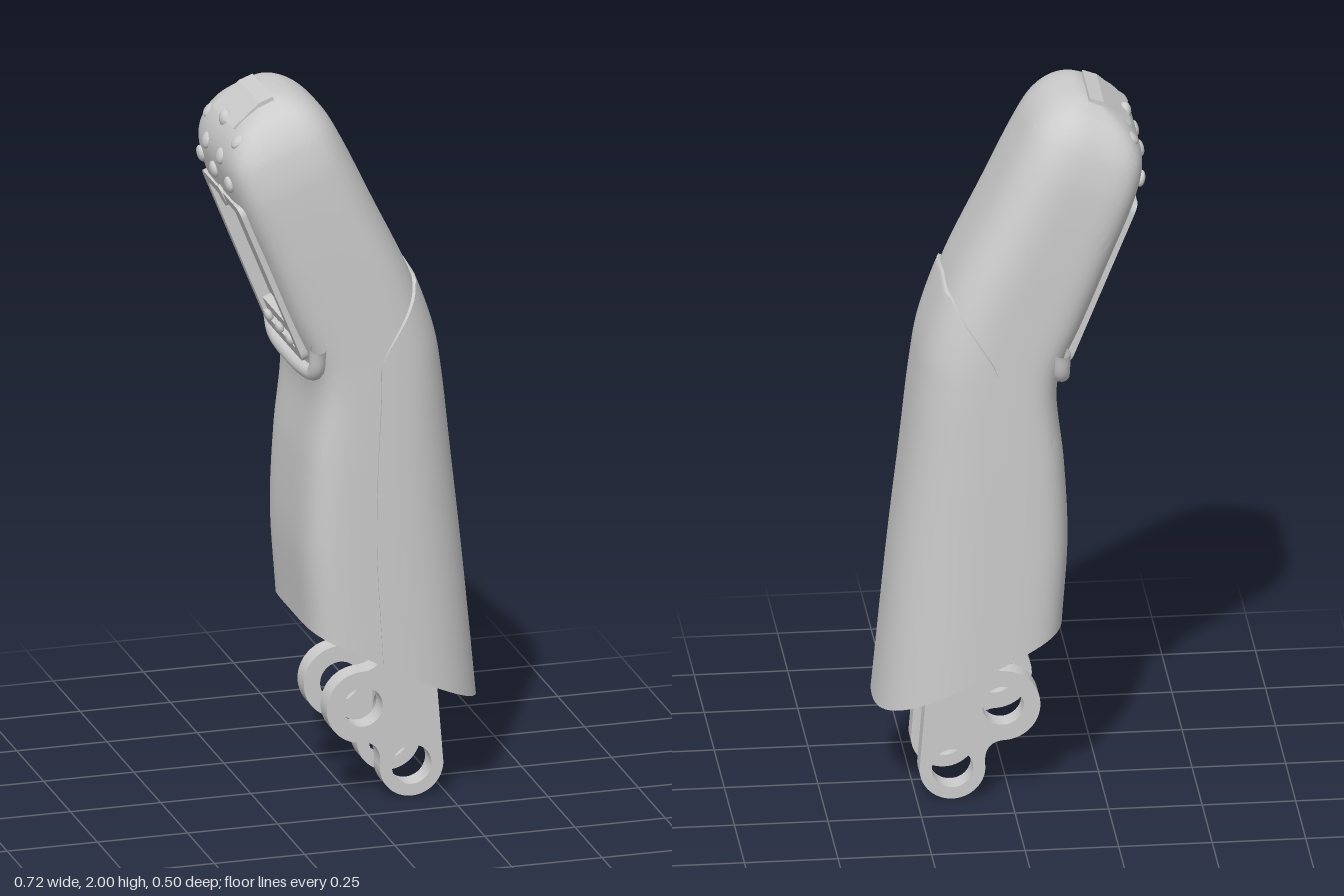
import * as THREE from 'three';
import { mergeVertices, toCreasedNormals } from 'three/addons/utils/BufferGeometryUtils.js';

const material = new THREE.MeshStandardMaterial({ color: 0xcccccc, side: THREE.DoubleSide });

function add(parent, name, geometry, x = 0, y = 0, z = 0) {
  const mesh = new THREE.Mesh(geometry, material);
  mesh.name = name;
  mesh.position.set(x, y, z);
  parent.add(mesh);
  return mesh;
}

// Cross-sections up the bent body: [leftX, leftY, rightX, rightY, half width, roundness of right side]
const sections = [
  [-0.14, 0.51, 0.348, 0.258, 0.242, 2.4],
  [-0.155, 0.75, 0.302, 0.7, 0.242, 2.5],
  [-0.145, 0.97, 0.272, 0.95, 0.242, 2.6],
  [-0.125, 1.17, 0.242, 1.2, 0.241, 2.7],
  [-0.137, 1.25, 0.222, 1.31, 0.24, 2.8],
  [-0.194, 1.38, 0.163, 1.475, 0.239, 3],
  [-0.263, 1.55, 0.06, 1.69, 0.238, 3],
  [-0.335, 1.73, -0.022, 1.86, 0.232, 3],
  [-0.355, 1.82, -0.065, 1.935, 0.215, 3],
  [-0.345, 1.875, -0.105, 1.974, 0.19, 3],
  [-0.315, 1.925, -0.145, 1.993, 0.155, 3],
  [-0.265, 1.968, -0.185, 2.0, 0.105, 3],
];
const track = (f) => new THREE.CatmullRomCurve3(sections.map(f));
const leftTrack = track((s) => new THREE.Vector3(s[0], s[1], 0));
const rightTrack = track((s) => new THREE.Vector3(s[2], s[3], 0));
const shapeTrack = track((s, i) => new THREE.Vector3(s[4], s[5], i));

// Point on the body skin at height t and angle a (0 = right, PI = left), grown by offset
function skin(t, a, offset = 0) {
  const L = leftTrack.getPoint(t), R = rightTrack.getPoint(t), S = shapeTrack.getPoint(t);
  const c = Math.cos(a), s = Math.sin(a), n = c < 0 ? 5 : S.y;
  const r = (Math.abs(c) ** n + Math.abs(s) ** n) ** (-1 / n);
  const half = R.clone().sub(L).multiplyScalar(0.5);
  half.setLength(half.length() + offset);
  const p = L.add(R).multiplyScalar(0.5).addScaledVector(half, c * r);
  p.z = s * r * (S.x + offset);
  return p;
}

// Surface through rows of points
function surface(rows, crease) {
  const cols = rows[0].length, index = [];
  for (let i = 0; i < rows.length - 1; i++) {
    for (let j = 0; j < cols - 1; j++) {
      const a = i * cols + j, b = a + cols;
      index.push(a, b, a + 1, a + 1, b, b + 1);
    }
  }
  const g = new THREE.BufferGeometry().setFromPoints(rows.flat());
  g.setIndex(index);
  return toCreasedNormals(mergeVertices(g, 1e-5), crease);
}

function roundedRect(shape, x0, y0, x1, y1, r) {
  shape.moveTo(x0 + r, y0);
  shape.lineTo(x1 - r, y0);
  shape.quadraticCurveTo(x1, y0, x1, y0 + r);
  shape.lineTo(x1, y1 - r);
  shape.quadraticCurveTo(x1, y1, x1 - r, y1);
  shape.lineTo(x0 + r, y1);
  shape.quadraticCurveTo(x0, y1, x0, y1 - r);
  shape.lineTo(x0, y0 + r);
  shape.quadraticCurveTo(x0, y0, x0 + r, y0);
  return shape;
}

const extrude = (shape, depth) => new THREE.ExtrudeGeometry(shape, { depth, bevelEnabled: false, curveSegments: 20 });

export function createModel() {
  const model = new THREE.Group();
  model.name = 'handset';

  // Local frame of the sloping screen face
  const up = new THREE.Vector3(-0.375, 0.927, 0), out = new THREE.Vector3(-0.927, -0.375, 0);
  const origin = new THREE.Vector3(-0.15, 1.27, 0);

  // Body with a closed bottom, rounded top and sunken screen window
  const COLS = 128, ROWS = 96, rows = [];
  const ringOf = (f) => Array.from({ length: COLS + 1 }, (_, j) => f(((j % COLS) / COLS) * Math.PI * 2));
  const middle = (t) => leftTrack.getPoint(t).add(rightTrack.getPoint(t)).multiplyScalar(0.5);
  rows.push(ringOf(() => middle(0)));
  for (let i = 0; i <= ROWS; i++) {
    rows.push(ringOf((a) => {
      const p = skin(i / ROWS, a), q = p.clone().sub(origin);
      const h = q.dot(up);
      if (Math.abs(p.z) < 0.155 && h > 0.025 && h < 0.465 && q.dot(out) > -0.05) p.addScaledVector(out, -0.035);
      return p;
    }));
  }
  rows.push(ringOf(() => middle(1)));
  add(model, 'body', surface(rows, 0.7));

  // Back cover: a slightly raised skin, ending in an arch at the bend
  const seam = new THREE.CatmullRomCurve3(
    [-0.24, -0.2, -0.16, -0.1, 0.04, 1].map((u, i) => new THREE.Vector3(i, u, 0)));
  const cover = [], N = 60, M = 48, tTop = 5 / (sections.length - 1);
  for (let i = -1; i <= N; i++) {
    const k = Math.max(i, 0) / N, t = k * tTop, n = shapeTrack.getPoint(t).y;
    const u = Math.min(1, seam.getPoint(k).y), e = u < 0 ? 5 : n;
    const a = Math.atan2((1 - Math.abs(u) ** e) ** (1 / e), u);
    const row = [];
    for (let j = -1; j <= M + 1; j++) {
      const rim = i < 0 || j < 0 || j > M;
      row.push(skin(t, a * (2 * THREE.MathUtils.clamp(j / M, 0, 1) - 1), rim ? -0.01 : 0.009));
    }
    cover.push(row);
  }
  add(model, 'backCover', surface(cover, 0.7));

  // Screen group: x across, y up the face, z outward
  const screen = new THREE.Group();
  screen.name = 'screen';
  screen.position.copy(origin);
  screen.quaternion.setFromRotationMatrix(new THREE.Matrix4().makeBasis(new THREE.Vector3(0, 0, 1), up, out));
  model.add(screen);
  const frame = roundedRect(new THREE.Shape(), -0.178, 0.0, 0.178, 0.485, 0.03);
  frame.holes.push(roundedRect(new THREE.Path(), -0.145, 0.035, 0.145, 0.455, 0.015));
  add(screen, 'screenFrame', extrude(frame, 0.04), 0, 0, -0.034);
  add(screen, 'screenPanel', new THREE.BoxGeometry(0.22, 0.33, 0.012), 0, 0.265, -0.03);
  add(screen, 'lowerBar', new THREE.BoxGeometry(0.28, 0.035, 0.03), 0, 0.065, -0.02);
  for (const s of [-1, 0, 1]) {
    add(screen, 'barButton', new THREE.SphereGeometry(0.018, 16, 10), s * 0.1, 0.045, 0.004).scale.z = 0.6;
  }
  add(screen, 'topTab', new THREE.CylinderGeometry(0.03, 0.03, 0.012, 20), 0, 0.465, 0.002).rotation.x = Math.PI / 2;

  // Lip under the screen
  const lip = new THREE.CatmullRomCurve3([
    [-0.13, 1.32, -0.225], [-0.13, 1.25, -0.2], [-0.137, 1.235, -0.13], [-0.137, 1.235, 0.13],
    [-0.13, 1.25, 0.2], [-0.13, 1.32, 0.225],
  ].map((p) => new THREE.Vector3(...p)));
  add(model, 'screenLip', new THREE.TubeGeometry(lip, 48, 0.022, 12));

  // Buttons, pressed flat against the upper face
  for (const [x, y, z] of [
    [-0.325, 1.895, -0.13], [-0.325, 1.895, 0.13], [-0.353, 1.835, -0.065], [-0.353, 1.835, 0.065],
    [-0.349, 1.775, -0.13], [-0.352, 1.775, 0], [-0.349, 1.775, 0.13],
  ]) {
    const b = add(model, 'button', new THREE.SphereGeometry(0.023, 20, 12), x, y, z);
    b.scale.x = 0.5;
    b.rotation.z = y > 1.88 ? -0.75 : y > 1.8 ? -0.2 : 0.2;
  }

  // Two-facet speaker plate on the top edge, with a small round tab
  const plate = new THREE.Shape([
    [-0.328, 1.92], [-0.285, 1.88], [-0.2, 1.94], [-0.217, 1.998], [-0.255, 1.984],
  ].map((p) => new THREE.Vector2(...p)));
  add(model, 'speakerPlate', extrude(plate, 0.19), 0, 0, -0.095);
  add(model, 'speakerTab', new THREE.SphereGeometry(0.025, 20, 12), -0.32, 1.915, 0).scale.x = 0.7;

  // Hinge bracket: two lobed plates with holes, joined by an arched bridge
  const lug = new THREE.Shape();
  lug.moveTo(0.215, 0.44);
  lug.lineTo(0.06, 0.44);
  lug.quadraticCurveTo(0.085, 0.37, 0.02, 0.365);
  lug.absarc(0.02, 0.265, 0.1, Math.PI / 2, Math.PI * 1.5, false);
  lug.quadraticCurveTo(0.075, 0.16, 0.067, 0.09);
  lug.absarc(0.155, 0.09, 0.088, Math.PI, Math.PI * 2, false);
  lug.lineTo(0.215, 0.44);
  for (const [x, y] of [[0.02, 0.265], [0.155, 0.09]]) {
    lug.holes.push(new THREE.Path().absarc(x, y, 0.055, 0, Math.PI * 2, true));
  }
  for (const z of [-0.137, 0.077]) add(model, 'hingePlate', extrude(lug, 0.06), 0, 0, z);
  const bridge = new THREE.Shape();
  bridge.moveTo(0.08, 0.17);
  bridge.lineTo(0.08, 0.43);
  bridge.lineTo(-0.08, 0.43);
  bridge.lineTo(-0.08, 0.17);
  bridge.absarc(0, 0.17, 0.077, Math.PI, 0, true);
  add(model, 'hingeBridge', extrude(bridge, 0.11), 0.11).rotation.y = Math.PI / 2;

  return model;
}
